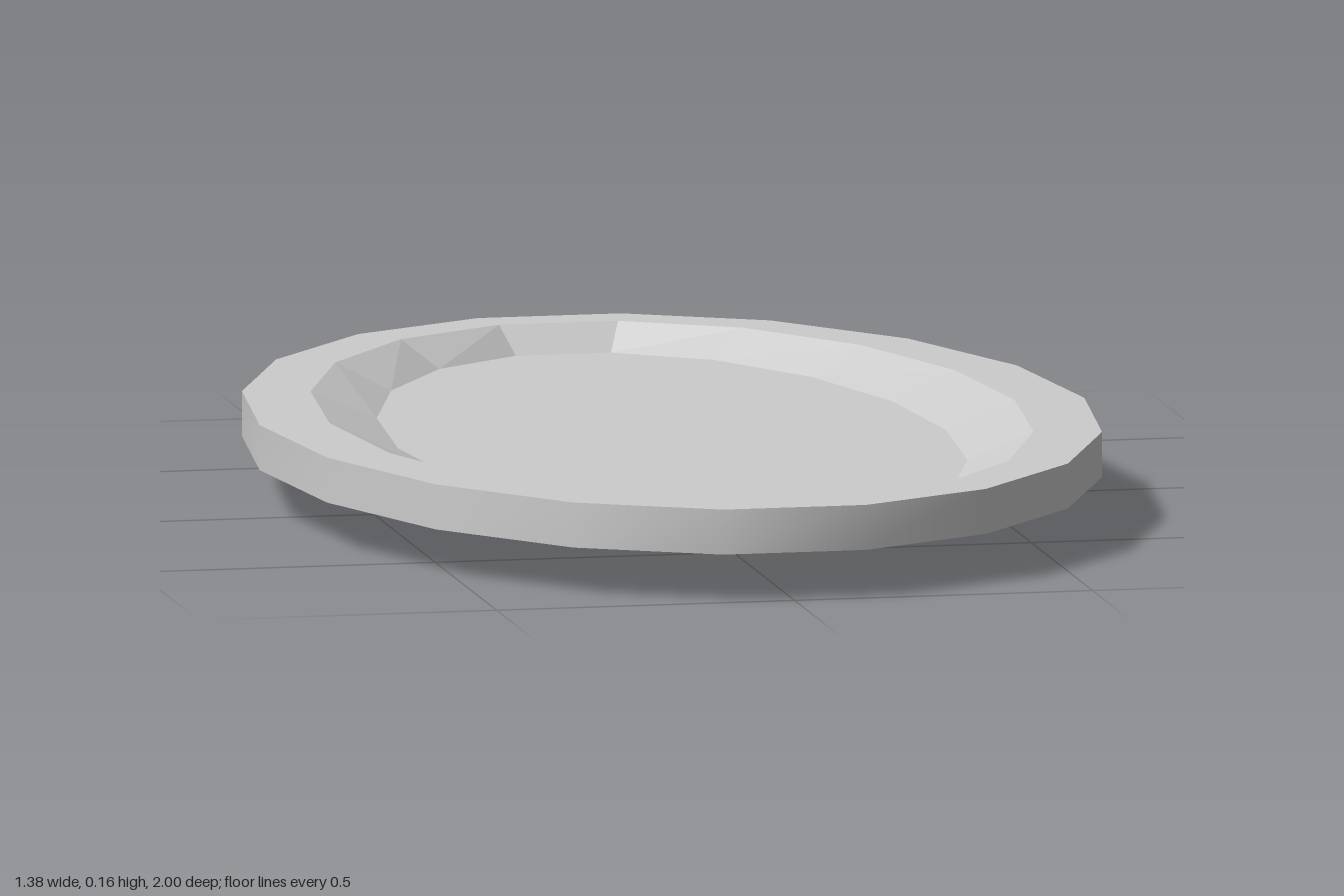
import * as THREE from 'three';

const SIDES = 18;

// Elliptical ring: half-width rx, half-length rz, height y
const ring = (rx, rz, y) => ({ rx, rz, y });

// Strip of faces from one ring to the next, smooth around unless flat
function band(name, a, b, flat = false) {
  const pos = [], index = [];
  for (const r of [a, b]) {
    for (let i = 0; i < SIDES; i++) {
      const t = (i / SIDES) * Math.PI * 2;
      pos.push(r.rx * Math.cos(t), r.y, r.rz * Math.sin(t));
    }
  }
  for (let i = 0; i < SIDES; i++) {
    const j = (i + 1) % SIDES;
    if (a.rx > 0) index.push(i, SIDES + i, j);
    if (b.rx > 0) index.push(j, SIDES + i, SIDES + j);
  }
  let geo = new THREE.BufferGeometry();
  geo.setAttribute('position', new THREE.Float32BufferAttribute(pos, 3));
  geo.setIndex(index);
  if (flat) geo = geo.toNonIndexed();
  geo.computeVertexNormals();
  const mesh = new THREE.Mesh(geo, new THREE.MeshStandardMaterial({ color: 0xcccccc, flatShading: flat }));
  mesh.name = name;
  return mesh;
}

export function createModel() {
  const group = new THREE.Group();
  group.name = 'ovalPlatter';

  const foot = ring(0.325, 0.48, 0);
  const belly = ring(0.692, 1.015, 0.08);
  const lip = ring(0.692, 1.015, 0.155);
  const innerLip = ring(0.575, 0.94, 0.155);
  const floor = ring(0.46, 0.9, 0.109);

  group.add(
    band('base', ring(0, 0, 0), foot),
    band('underside', foot, belly),
    band('outerWall', belly, lip),
    band('rim', lip, innerLip, true),
    band('innerWall', innerLip, floor, true),
    band('servingFloor', floor, ring(0, 0, floor.y), true),
  );
  return group;
}
